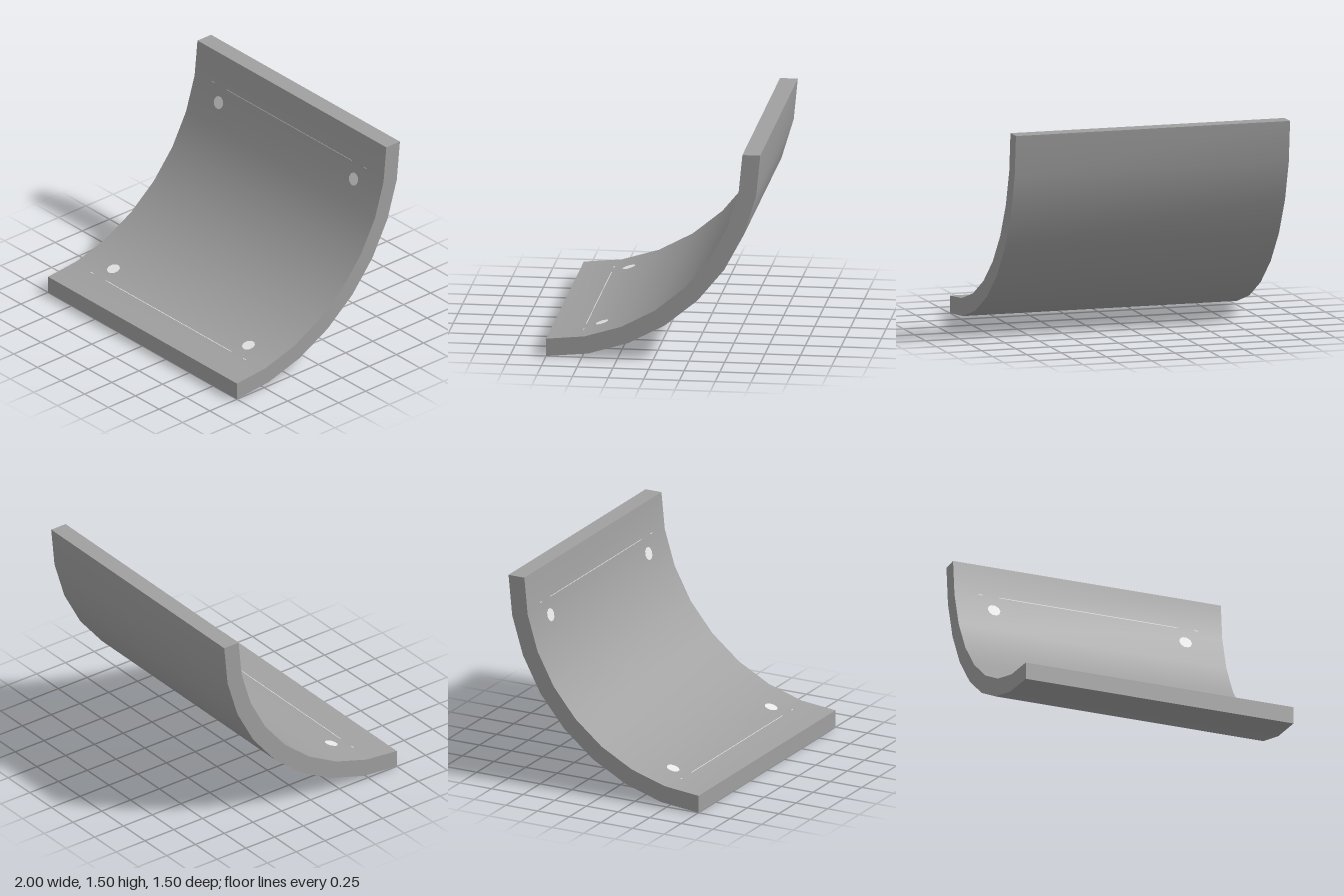
import * as THREE from 'three';
import { toCreasedNormals } from 'three/addons/utils/BufferGeometryUtils.js';

const OUTER = 1.5, INNER = 1.375, SEGMENTS = 8;
const STEP = Math.PI / 2 / SEGMENTS;

const grey = new THREE.MeshStandardMaterial({ name: 'panelGrey', color: 0xa0a0a0 });
const white = new THREE.MeshStandardMaterial({ name: 'markerWhite', color: 0xffffff });

// Lay a flat geometry on the facet of the inner curve at the given angle from the bottom
function onInnerFace(name, geometry, x, angle) {
  const mid = (Math.floor(angle / STEP) + 0.5) * STEP;
  const radius = INNER * Math.cos(STEP / 2) / Math.cos(angle - mid);
  const lift = 0.002;
  const mesh = new THREE.Mesh(geometry, white);
  mesh.name = name;
  mesh.position.set(
    x,
    OUTER - radius * Math.cos(angle) + lift * Math.cos(mid),
    OUTER / 2 - radius * Math.sin(angle) + lift * Math.sin(mid)
  );
  mesh.rotation.x = mid - Math.PI / 2;
  return mesh;
}

export function createModel() {
  const model = new THREE.Group();
  model.name = 'curvedPanel';

  // Quarter-ring cross-section, extruded across the width
  const points = [];
  const addArc = (radius, i) => points.push(new THREE.Vector2(
    radius * Math.sin(i * STEP) - OUTER / 2,
    OUTER - radius * Math.cos(i * STEP)
  ));
  for (let i = 0; i <= SEGMENTS; i++) addArc(OUTER, i);
  for (let i = SEGMENTS; i >= 0; i--) addArc(INNER, i);
  const geometry = new THREE.ExtrudeGeometry(new THREE.Shape(points), { depth: 2, bevelEnabled: false });
  geometry.translate(0, 0, -1).rotateY(Math.PI / 2);
  const panel = new THREE.Mesh(toCreasedNormals(geometry, 0.5), grey);
  panel.name = 'panel';
  model.add(panel);

  // Round studs near the corners and fine lines beside the two long edges
  const stud = new THREE.CircleGeometry(0.047, 10);
  const line = new THREE.PlaneGeometry(1.33, 0.005);
  const tick = new THREE.PlaneGeometry(0.03, 0.006);
  const deg = THREE.MathUtils.degToRad;
  for (const [edge, studAngle, lineAngle] of [['lower', 15, 10], ['upper', 75, 80]]) {
    model.add(onInnerFace(edge + 'Line', line, 0, deg(lineAngle)));
    for (const [side, s] of [['Left', 1], ['Right', -1]]) {
      model.add(onInnerFace(edge + side + 'Stud', stud, s * 0.715, deg(studAngle)));
      model.add(onInnerFace(edge + side + 'Tick', tick, s * 0.805, deg(lineAngle)));
    }
  }
  return model;
}
